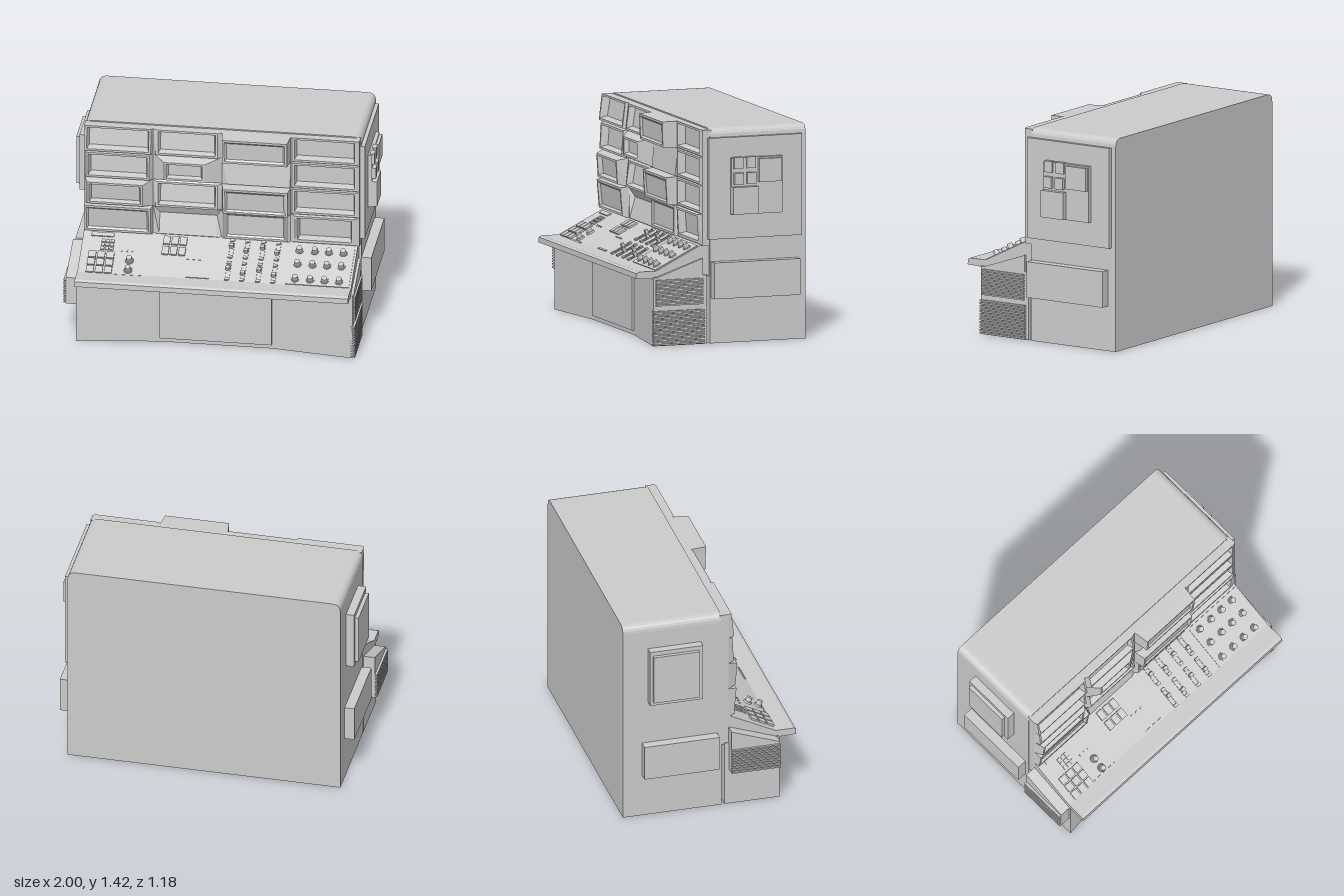
import * as THREE from 'three';

const grey = new THREE.MeshStandardMaterial({ color: 0xcccccc, flatShading: true, side: THREE.DoubleSide });

export function createModel() {
  const root = new THREE.Group();

  const add = (name, geo, parent = root) => {
    const mesh = new THREE.Mesh(geo, grey);
    mesh.name = name;
    parent.add(mesh);
    return mesh;
  };
  // Box given by its limits on each axis
  const box = (name, x0, x1, y0, y1, z0, z1, parent) => {
    const m = add(name, new THREE.BoxGeometry(Math.abs(x1 - x0), y1 - y0, z1 - z0), parent);
    m.position.set((x0 + x1) / 2, (y0 + y1) / 2, (z0 + z1) / 2);
    return m;
  };
  const shapeOf = pts => new THREE.Shape(pts.map(p => new THREE.Vector2(p[0], p[1])));
  // Side profile of [z, y] points extruded from x0 to x1
  const sideProfile = (name, pts, x0, x1) => {
    const geo = new THREE.ExtrudeGeometry(shapeOf(pts.map(([z, y]) => [-z, y])), { depth: x1 - x0, bevelEnabled: false });
    geo.rotateY(Math.PI / 2).translate(x0, 0, 0);
    return add(name, geo);
  };

  // Tall cabinet with rounded upper corners
  const r = 0.055, W = 0.915, H = 1.43;
  const front = new THREE.Shape();
  front.moveTo(-W, 0.01);
  front.lineTo(W, 0.01);
  front.lineTo(W, H - r);
  front.quadraticCurveTo(W, H, W - r, H);
  front.lineTo(r - W, H);
  front.quadraticCurveTo(-W, H, -W, H - r);
  add('cabinet', new THREE.ExtrudeGeometry(front, { depth: 0.67, bevelEnabled: false, curveSegments: 5 })
    .translate(0, 0, -0.59));

  // Console base with a front that bends inward in the middle
  const plan = shapeOf([[-W, -0.1], [W, -0.1], [W, -0.475], [0.37, -0.405], [-0.37, -0.405], [-W, -0.475]]);
  add('consoleBase', new THREE.ExtrudeGeometry(plan, { depth: 0.455, bevelEnabled: false })
    .rotateX(-Math.PI / 2).translate(0, 0.01, 0));
  box('accessPanel', -0.37, 0.37, 0.04, 0.42, 0.38, 0.42);

  // Sloping desk with overhanging ledge
  sideProfile('desk', [[0.05, 0.67], [0.13, 0.665], [0.45, 0.505], [0.57, 0.505], [0.588, 0.495],
    [0.59, 0.46], [0.46, 0.455], [0.05, 0.455]], -0.91, 0.9);

  // Monitor wall: each bank is a faceted hood around a sunken or plain screen
  const ring = (x0, x1, y0, y1, zTop, zBot) => [[x0, y0, zBot], [x1, y0, zBot], [x1, y1, zTop], [x0, y1, zTop]];
  const monitor = (cell, [x0, x1, y0, y1, zTop, zBot, depth]) => {
    const m = 0.014;
    const loops = [ring(...cell, 0.07, 0.07), ring(...cell, 0.13, 0.13),
      ring(x0 - m, x1 + m, y0 - m, y1 + m, zTop, zBot)];
    if (depth) {
      loops.push(ring(x0, x1, y0, y1, zTop, zBot));
      loops.push(ring(x0 + 0.012, x1 - 0.012, y0 + 0.012, y1 - 0.012, zTop - depth, zBot - depth));
    }
    const pos = [];
    const quad = (a, b, c, d) => pos.push(...a, ...b, ...c, ...a, ...c, ...d);
    for (let i = 1; i < loops.length; i++) {
      for (let k = 0; k < 4; k++) {
        const n = (k + 1) % 4;
        quad(loops[i - 1][k], loops[i - 1][n], loops[i][n], loops[i][k]);
      }
    }
    quad(...loops[loops.length - 1]);
    const geo = new THREE.BufferGeometry();
    geo.setAttribute('position', new THREE.Float32BufferAttribute(pos, 3));
    geo.computeVertexNormals();
    add('monitor', geo);
  };
  const colX = [-0.91, -0.455, 0, 0.455, 0.91];
  const rowY = [1.422, 1.245, 1.055, 0.865, 0.655];
  // Per screen: x0, x1, y0, y1, z at top, z at bottom, sunken depth
  const screens = [
    [[-0.89, -0.48, 1.265, 1.41, 0.15, 0.17, 0.05], [-0.42, -0.04, 1.26, 1.405, 0.14, 0.16, 0.04],
      [0.03, 0.43, 1.265, 1.405, 0.235, 0.23, 0.012], [0.48, 0.88, 1.265, 1.41, 0.14, 0.14, 0.05]],
    [[-0.88, -0.49, 1.075, 1.22, 0.16, 0.17, 0.05], [-0.36, -0.12, 1.1, 1.2, 0.2, 0.2, 0.03],
      [0.05, 0.44, 1.075, 1.22, 0.13, 0.15, 0], [0.48, 0.88, 1.075, 1.225, 0.14, 0.14, 0.05]],
    [[-0.87, -0.53, 0.89, 1.02, 0.195, 0.185, 0.03], [-0.42, -0.04, 0.885, 1.03, 0.14, 0.16, 0.04],
      [0.03, 0.43, 0.885, 1.035, 0.21, 0.2, 0.01], [0.48, 0.88, 0.885, 1.035, 0.14, 0.14, 0.05]],
    [[-0.89, -0.48, 0.685, 0.845, 0.185, 0.17, 0.015], [-0.4, -0.05, 0.68, 0.79, 0.1, 0.14, 0],
      [0.03, 0.42, 0.68, 0.845, 0.15, 0.15, 0.01], [0.5, 0.86, 0.685, 0.845, 0.15, 0.14, 0.05]],
  ];
  screens.forEach((row, j) => row.forEach((s, i) =>
    monitor([colX[i], colX[i + 1], rowY[j + 1], rowY[j]], s)));

  // Controls lying on the desk slope; x and z give the spot
  const tilt = Math.atan(0.5);
  const onDesk = (name, geo, x, z, lift = 0) => {
    const m = add(name, geo);
    m.rotation.x = tilt;
    m.position.set(x, 0.505 + (0.45 - z) * 0.5 + lift * Math.cos(tilt), z + lift * Math.sin(tilt));
  };
  const pad = (name, x, z, w, d, h = 0.012) => onDesk(name, new THREE.BoxGeometry(w, h, d), x, z, h / 2);

  const knob = (x, z) => {
    onDesk('knobBase', new THREE.CylinderGeometry(0.026, 0.028, 0.012, 12), x, z, 0.006);
    onDesk('knob', new THREE.CylinderGeometry(0.018, 0.02, 0.03, 12), x, z, 0.025);
  };
  pad('knobPanel', 0.675, 0.3, 0.42, 0.33, 0.006);
  for (const x of [0.525, 0.625, 0.72, 0.815]) for (const z of [0.2, 0.3, 0.41]) knob(x, z);
  knob(-0.58, 0.35);
  knob(-0.58, 0.42);

  // Faders: two rails, end stops and a handle
  [0.075, 0.175, 0.28, 0.38].forEach((x, i) => {
    for (const z of [0.215, 0.38]) {
      for (const s of [-1, 1]) {
        pad('faderRail', x + s * 0.014, z, 0.006, 0.14, 0.006);
        pad('faderStop', x, z + s * 0.06, 0.028, 0.02, 0.012);
      }
      pad('faderHandle', x, z + (i % 2 ? 0.015 : -0.015), 0.028, 0.022, 0.03);
    }
  });

  // Keypads and small switches
  for (let i = 0; i < 3; i++) {
    for (let j = 0; j < 3; j++) {
      pad('key', -0.83 + i * 0.06, 0.32 + j * 0.055, 0.05, 0.052);
      pad('smallKey', -0.77 + i * 0.03, 0.215 + j * 0.028, 0.024, 0.024, 0.008);
    }
    for (let j = 0; j < 2; j++) pad('switchKey', -0.355 + i * 0.055, 0.185 + j * 0.075, 0.045, 0.065);
    pad('pin', -0.64 + i * 0.035, 0.28, 0.008, 0.01, 0.006);
    pad('pin', -0.2 + i * 0.04, 0.31, 0.015, 0.008, 0.006);
  }
  pad('displayStrip', -0.78, 0.17, 0.15, 0.03, 0.008);
  pad('labelStrip', -0.58, 0.452, 0.18, 0.012, 0.006);
  pad('labelStrip', -0.12, 0.44, 0.15, 0.012, 0.006);

  // Stack of louvre slats on a side
  const vent = (x0, x1, y0, y1, z0, z1) => {
    for (let y = y0; y < y1 - 0.008; y += 0.018) box('ventSlat', x0, x1, y, y + 0.01, z0, z1);
  };

  // Model's left side (+x): raised panel with buttons, lower box, two vents
  box('sidePanel', 0.9, 0.94, 0.7, 1.37, -0.555, 0.095);
  box('controlPlate', 0.93, 0.965, 0.86, 1.235, -0.41, -0.055);
  for (const z of [-0.13, -0.22]) {
    box('sideButton', 0.95, 0.98, 1.165, 1.24, z, z + 0.063);
    box('sideButton', 0.95, 0.99, 1.062, 1.137, z, z + 0.063);
  }
  box('sideTile', 0.95, 0.985, 1.07, 1.225, -0.4, -0.24);
  box('sideTile', 0.95, 1, 0.865, 1.045, -0.23, -0.055);
  box('lowerSideBox', 0.9, 0.98, 0.31, 0.55, -0.53, 0.07);
  sideProfile('cheek', [[0.13, 0.27], [0.46, 0.27], [0.46, 0.46], [0.13, 0.575]], 0.89, 0.918);
  vent(0.9, 0.93, 0.275, 0.455, 0.13, 0.46);
  vent(0.9, 0.93, 0.015, 0.255, 0.12, 0.478);

  // Model's right side (-x): stepped panel, lower box, protruding vent block
  box('sidePanel', -0.97, -0.9, 0.85, 1.25, -0.42, -0.06);
  box('sidePanelFace', -0.995, -0.96, 0.88, 1.22, -0.4, -0.09);
  box('lowerSideBox', -0.98, -0.9, 0.31, 0.55, -0.46, 0.05);
  sideProfile('ventBlock', [[0.13, 0.27], [0.46, 0.27], [0.46, 0.46], [0.13, 0.58]], -0.985, -0.9);
  vent(-1, -0.97, 0.275, 0.455, 0.13, 0.46);

  return root;
}
